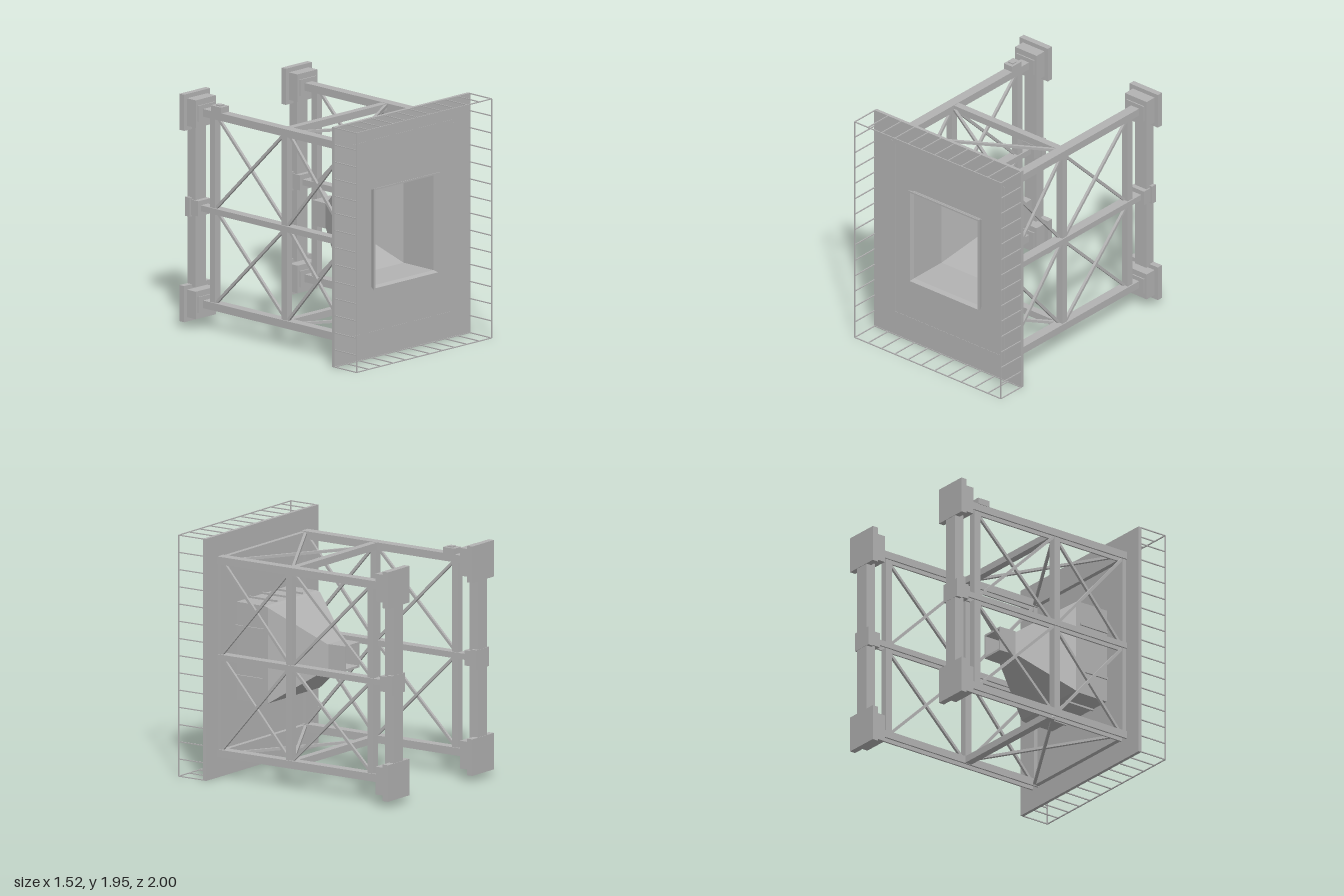
import * as THREE from 'three';

const grey = new THREE.MeshStandardMaterial({ color: 0xb2b2b2 });
grey.name = 'paintedSteel';
const MID = 0.985;

// Box given by its extents on each axis
function box(parent, name, x0, x1, y0, y1, z0, z1) {
  const m = new THREE.Mesh(new THREE.BoxGeometry(x1 - x0, y1 - y0, z1 - z0), grey);
  m.position.set((x0 + x1) / 2, (y0 + y1) / 2, (z0 + z1) / 2);
  m.name = name;
  parent.add(m);
  return m;
}

// Square bar between two points
function bar(parent, name, a, b, w) {
  const p = new THREE.Vector3(...a), q = new THREE.Vector3(...b);
  const m = new THREE.Mesh(new THREE.BoxGeometry(w, w, p.distanceTo(q)), grey);
  m.position.copy(p).add(q).multiplyScalar(0.5);
  m.lookAt(q);
  m.name = name;
  parent.add(m);
}

// Rectangular sections [halfX, halfY, z] joined into a faceted skin
function loft(sections) {
  const pos = [];
  const corner = ([hx, hy, z], i) => {
    const [sx, sy] = [[1, 1], [-1, 1], [-1, -1], [1, -1]][i % 4];
    return [sx * hx, MID + sy * hy, z];
  };
  for (let s = 0; s < sections.length - 1; s++) {
    for (let i = 0; i < 4; i++) {
      const a = corner(sections[s], i), b = corner(sections[s], i + 1);
      const c = corner(sections[s + 1], i + 1), d = corner(sections[s + 1], i);
      pos.push(...a, ...b, ...c, ...a, ...c, ...d);
    }
  }
  const g = new THREE.BufferGeometry();
  g.setAttribute('position', new THREE.Float32BufferAttribute(pos, 3));
  g.computeVertexNormals();
  return g;
}

function frontPanel() {
  const g = new THREE.Group();
  g.name = 'frontPanel';
  const s = new THREE.Shape();
  s.moveTo(-0.76, 0.01).lineTo(0.76, 0.01).lineTo(0.76, 1.96).lineTo(-0.76, 1.96).closePath();
  const h = new THREE.Path();
  h.moveTo(-0.345, 0.59).lineTo(-0.345, 1.38).lineTo(0.345, 1.38).lineTo(0.345, 0.59).closePath();
  s.holes.push(h);
  const m = new THREE.Mesh(new THREE.ExtrudeGeometry(s, { depth: 0.024, bevelEnabled: false }), grey);
  m.position.z = 0.726;
  m.name = 'panelSheet';
  g.add(m);
  // Shallow raised frame on the face
  for (const k of [-1, 1]) {
    box(g, 'faceStrip', k * 0.5675 - 0.0225, k * 0.5675 + 0.0225, 0.205, 1.755, 0.749, 0.752);
    const y = MID - 0.005 + k * 0.778;
    box(g, 'faceStrip', -0.565, 0.565, y - 0.0225, y + 0.0225, 0.749, 0.752);
  }
  return g;
}

function wireCage() {
  const g = new THREE.Group();
  g.name = 'wireCage';
  const w = 0.008, X = 0.757, y0 = 0.014, y1 = 1.956, z0 = 0.745, z1 = 0.992;
  // Perimeter wires
  for (const z of [z0 + 0.005, z1]) {
    for (const y of [y0, y1]) bar(g, 'rimWire', [-X, y, z], [X, y, z], w);
    for (const x of [-X, X]) bar(g, 'rimWire', [x, y0, z], [x, y1, z], w);
  }
  // Spacer wires
  for (let i = 0; i <= 11; i++) {
    const x = -X + (2 * X * i) / 11;
    for (const y of [y0, y1]) bar(g, 'spacerWire', [x, y, z0], [x, y, z1], w);
  }
  for (let i = 1; i < 14; i++) {
    const y = y0 + ((y1 - y0) * i) / 14;
    for (const x of [-X, X]) bar(g, 'spacerWire', [x, y, z0], [x, y, z1], w);
  }
  return g;
}

function horn() {
  const g = new THREE.Group();
  g.name = 'horn';
  const skin = new THREE.Mesh(loft([
    [0.085, 0.085, -0.142], [0.1, 0.102, -0.142], [0.105, 0.102, 0.01], [0.105, 0.095, 0.01],
    [0.35, 0.385, 0.42], [0.35, 0.395, 0.45], [0.35, 0.395, 0.755], [0.365, 0.412, 0.795],
    [0.365, 0.412, 0.8], [0.352, 0.398, 0.8], [0.34, 0.385, 0.76], [0.34, 0.385, 0.43],
    [0.085, 0.085, 0], [0.085, 0.085, -0.142],
  ]), grey);
  skin.name = 'hornShell';
  g.add(skin);
  // Stiffening ribs
  for (const k of [-1, 1]) {
    for (const x of [-0.172, 0, 0.172]) {
      const y = MID + k * 0.4;
      box(g, 'hornRib', x - 0.008, x + 0.008, y - 0.01, y + 0.01, 0.46, 0.73);
    }
    for (const y of [0.787, 1.187]) {
      box(g, 'hornRib', k * 0.353 - 0.01, k * 0.353 + 0.01, y - 0.009, y + 0.009, 0.46, 0.73);
    }
  }
  return g;
}

// Side truss centred on x = cx
function sideTruss(cx) {
  const g = new THREE.Group();
  g.name = cx > 0 ? 'leftTruss' : 'rightTruss';
  // Rails as channels open at the bottom
  for (const [y0, y1] of [[0.175, 0.237], [0.957, 1.005], [1.73, 1.792]]) {
    box(g, 'railTop', cx - 0.041, cx + 0.041, y1 - 0.014, y1, -0.88, 0.73);
    for (const k of [-1, 1]) {
      box(g, 'railSide', cx + k * 0.034 - 0.007, cx + k * 0.034 + 0.007, y0, y1 - 0.014, -0.88, 0.73);
    }
  }
  // Posts
  for (const [z0, z1] of [[0.69, 0.735], [0.012, 0.068], [-0.78, -0.722]]) {
    for (const [y0, y1] of [[0.237, 0.957], [1.005, 1.73]]) {
      box(g, 'post', cx - 0.03, cx + 0.03, y0, y1, z0, z1);
    }
  }
  // Cross braces in each bay
  for (const [y0, y1] of [[0.23, 0.96], [1, 1.735]]) {
    for (const [z0, z1] of [[0.06, 0.7], [-0.73, 0.02]]) {
      bar(g, 'brace', [cx - 0.012, y0, z0], [cx - 0.012, y1, z1], 0.022);
      bar(g, 'brace', [cx + 0.012, y1, z0], [cx + 0.012, y0, z1], 0.022);
    }
  }
  // Wall mounts and rear column
  for (const y of [0.207, 1.761]) {
    box(g, 'mountCollar', cx - 0.09, cx + 0.09, y - 0.065, y + 0.065, -0.86, -0.845);
    box(g, 'mountBlock', cx - 0.112, cx + 0.112, y - 0.112, y + 0.112, -0.955, -0.855);
    box(g, 'mountPlate', cx - 0.146, cx + 0.146, y - 0.147, y + 0.147, -1, -0.95);
  }
  box(g, 'rearColumn', cx - 0.06, cx + 0.06, 0.335, 1.635, -0.996, -0.912);
  box(g, 'middleBlock', cx - 0.07, cx + 0.07, 0.92, 1.043, -0.955, -0.87);
  box(g, 'middlePlate', cx - 0.085, cx + 0.085, 0.905, 1.06, -0.998, -0.95);
  return g;
}

export function createModel() {
  const model = new THREE.Group();
  model.name = 'hornFrame';
  model.add(frontPanel(), wireCage(), horn(), sideTruss(0.57), sideTruss(-0.57));

  // Cross beams and braces between the trusses, top and bottom
  for (const y of [0.206, 1.761]) {
    box(model, 'crossBeam', -0.54, 0.54, y - 0.028, y + 0.028, 0.0, 0.06);
    box(model, 'frontCrossBeam', -0.54, 0.54, y - 0.025, y + 0.025, 0.688, 0.73);
    bar(model, 'crossBrace', [-0.55, y - 0.012, 0.04], [0.55, y - 0.012, 0.7], 0.022);
    bar(model, 'crossBrace', [0.55, y + 0.012, 0.04], [-0.55, y + 0.012, 0.7], 0.022);
  }

  // Small box on one upper rail
  box(model, 'railBox', -0.615, -0.528, 1.79, 1.84, -0.755, -0.642);
  box(model, 'railBoxCap', -0.595, -0.548, 1.838, 1.85, -0.72, -0.672);
  return model;
}
